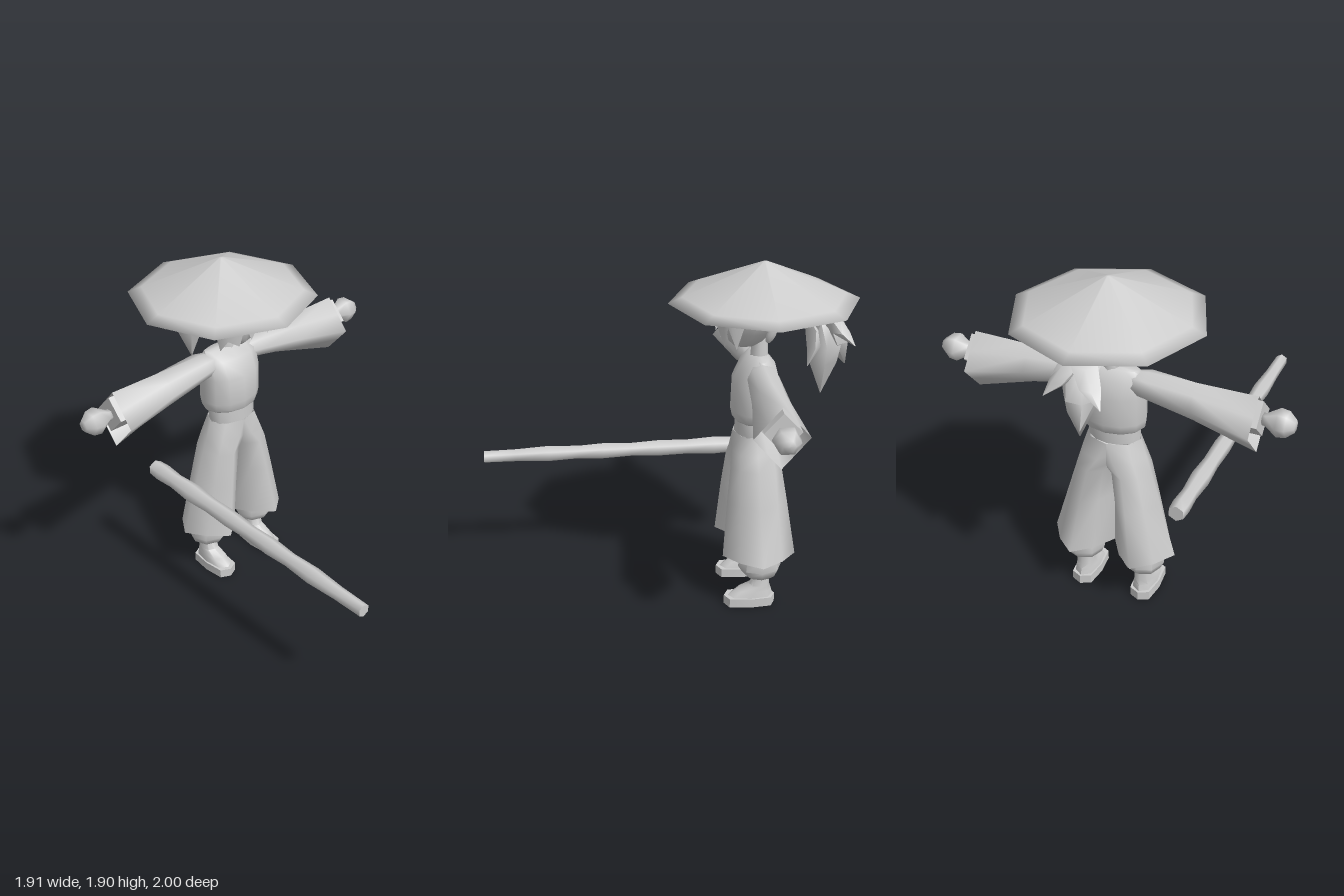
import * as THREE from 'three';
import { toCreasedNormals } from 'three/addons/utils/BufferGeometryUtils.js';

const grey = new THREE.MeshStandardMaterial({ color: 0xcccccc, side: THREE.DoubleSide });
grey.name = 'plain grey';

// Skin a list of closed rings; the winding is turned outward by its signed volume.
function loft(rings, { caps = true, crease = 1.0 } = {}) {
  const n = rings[0].length, pos = rings.flat().map(p => new THREE.Vector3(...p)), tris = [];
  for (let r = 0; r < rings.length - 1; r++) {
    for (let i = 0; i < n; i++) {
      const a = r * n + i, b = r * n + (i + 1) % n;
      tris.push([a, b, b + n], [a, b + n, a + n]);
    }
  }
  if (caps) {
    [0, rings.length - 1].forEach(r => {
      const c = new THREE.Vector3();
      for (let i = 0; i < n; i++) c.addScaledVector(pos[r * n + i], 1 / n);
      const k = pos.push(c) - 1;
      for (let i = 0; i < n; i++) {
        const a = r * n + i, b = r * n + (i + 1) % n;
        tris.push(r ? [k, a, b] : [k, b, a]);
      }
    });
  }
  const mid = new THREE.Vector3();
  pos.forEach(p => mid.addScaledVector(p, 1 / pos.length));
  let volume = 0;
  tris.forEach(t => {
    const [a, b, c] = t.map(i => pos[i].clone().sub(mid));
    volume += a.dot(b.cross(c));
  });
  if (volume < 0) tris.forEach(t => t.reverse());
  const g = new THREE.BufferGeometry().setFromPoints(pos);
  g.setIndex(tris.flat());
  g.computeVertexNormals();
  return crease ? toCreasedNormals(g, crease) : g;
}

// Horizontal ring between x0..x1 and zf..zb; e below 1 is boxier, above 1 more pointed.
function oval(y, x0, x1, zf, zb, n = 8, e = 1) {
  const f = v => Math.sign(v) * Math.pow(Math.abs(v) < 1e-6 ? 0 : Math.abs(v), e);
  return Array.from({ length: n }, (_, i) => {
    const t = i / n * Math.PI * 2;
    return [(x0 + x1) / 2 + f(Math.cos(t)) * (x1 - x0) / 2, y, (zf + zb) / 2 + f(Math.sin(t)) * (zf - zb) / 2];
  });
}

// Upright ring across an arm; k sets its shape from diamond (0.5) to round (0.71).
function armRing(x, cy, hy, hz, k) {
  const p = [[1, 0], [k, k], [0, 1], [-k, k], [-1, 0], [-k, -k], [0, -1], [k, -k]];
  return p.map(([a, b]) => [x, cy + b * hy, -0.475 + a * hz]);
}

export function createModel() {
  const model = new THREE.Group();
  model.name = 'traveller';
  const add = (name, geometry, parent = model) => {
    const m = new THREE.Mesh(geometry, grey);
    m.name = name;
    parent.add(m);
    return m;
  };

  // Eight-sided straw hat, softly shaded over the rim
  add('hat', loft([
    [0.01, 1.81], [0.43, 1.69], [0.503, 1.685], [0.43, 1.717], [0.01, 1.897],
  ].map(([r, y]) => oval(y, -r, r, -0.5 + r, -0.5 - r)), { crease: 0 }));

  // Head and neck
  add('head', loft([
    [1.447, 0.035, -0.345, -0.46], [1.475, 0.075, -0.315, -0.495], [1.54, 0.13, -0.3, -0.55],
    [1.61, 0.162, -0.285, -0.62], [1.69, 0.172, -0.28, -0.69], [1.76, 0.12, -0.35, -0.62],
  ].map(([y, h, f, b]) => oval(y, -h, h, f, b, 12, 0.95))));
  add('neck', new THREE.CylinderGeometry(0.04, 0.05, 0.14, 8)).position.set(0, 1.43, -0.48);
  for (const s of [-1, 1]) {
    const ear = add(s > 0 ? 'leftEar' : 'rightEar', new THREE.SphereGeometry(1, 8, 6));
    ear.scale.set(0.018, 0.055, 0.024);
    ear.position.set(s * 0.148, 1.55, -0.515);
    ear.rotation.set(-0.35, 0, -s * 0.25);
  }

  // Jagged fringe: [x, z, lower edge y] from the right temple to the left temple
  const fringe = [
    [-0.178, -0.43, 1.67], [-0.18, -0.375, 1.62], [-0.175, -0.325, 1.465], [-0.15, -0.285, 1.53],
    [-0.1, -0.245, 1.5], [-0.07, -0.23, 1.63], [-0.04, -0.215, 1.53], [0.05, -0.215, 1.675],
    [0.1, -0.24, 1.56], [0.13, -0.265, 1.48], [0.15, -0.285, 1.59], [0.17, -0.325, 1.475],
    [0.18, -0.375, 1.62], [0.178, -0.43, 1.67],
  ];
  const strip = [], faces = [];
  fringe.forEach(([x, z, y], i) => {
    const pull = 1 - (1.7 - y) * 0.35;
    strip.push(new THREE.Vector3(x, 1.71, z), new THREE.Vector3(x * pull, y, -0.47 + (z + 0.47) * pull));
    if (i) faces.push(2 * i - 2, 2 * i - 1, 2 * i + 1, 2 * i - 2, 2 * i + 1, 2 * i);
  });
  const fringeGeometry = new THREE.BufferGeometry().setFromPoints(strip);
  fringeGeometry.setIndex(faces);
  fringeGeometry.computeVertexNormals();
  add('fringe', fringeGeometry);

  // Full ponytail of overlapping pointed locks: [x, y, z, half width, half depth]
  const root = [0, 1.655, -0.695, 0.045, 0.035];
  const locks = [
    [root, [0, 1.58, -0.785, 0.09, 0.075], [0, 1.44, -0.82, 0.1, 0.095], [0.01, 1.35, -0.815, 0.075, 0.08], [0.02, 1.17, -0.81, 0.002, 0.002]],
    [root, [0, 1.6, -0.82, 0.085, 0.075], [-0.02, 1.45, -0.88, 0.085, 0.075], [-0.05, 1.305, -0.95, 0.002, 0.002]],
    [root, [-0.02, 1.61, -0.83, 0.075, 0.065], [-0.08, 1.53, -0.895, 0.06, 0.055], [-0.17, 1.465, -0.975, 0.002, 0.002]],
    [root, [0.02, 1.61, -0.83, 0.075, 0.065], [0.07, 1.53, -0.89, 0.055, 0.055], [0.13, 1.465, -0.96, 0.002, 0.002]],
    [root, [0.02, 1.54, -0.76, 0.07, 0.045], [0.06, 1.45, -0.755, 0.05, 0.035], [0.09, 1.35, -0.72, 0.002, 0.002]],
  ];
  locks.forEach((lock, i) => add('ponytailLock' + (i + 1), loft(
    lock.map(([x, y, z, w, d]) => oval(y, x - w, x + w, z + d, z - d, 6)), { crease: 1.2 })));

  // Jacket body and belt
  add('jacket', loft([
    [1.045, 0.16, -0.345, -0.575, 1], [1.055, 0.17, -0.34, -0.585, 1], [1.1, 0.178, -0.33, -0.595, 1],
    [1.25, 0.175, -0.335, -0.59, 0.9], [1.345, 0.175, -0.385, -0.565, 0.8], [1.395, 0.15, -0.44, -0.52, 0.8],
  ].map(([y, h, f, b, e]) => oval(y, -h, h, f, b, 12, e)), { crease: 1.1 }));
  add('belt', loft([0.965, 1.05].map(y => oval(y, -0.14, 0.14, -0.355, -0.55, 12))));

  // Limbs, built on the left and mirrored
  const sleeve = loft([
    armRing(0.1, 1.32, 0.06, 0.06, 0.71), armRing(0.19, 1.325, 0.068, 0.085, 0.71),
    armRing(0.45, 1.287, 0.11, 0.1, 0.6), armRing(0.765, 1.239, 0.162, 0.142, 0.5),
  ], { caps: false, crease: 0 });
  const lining = loft([armRing(0.62, 1.265, 0.11, 0.1, 0.5), armRing(0.63, 1.265, 0.13, 0.12, 0.5)]);
  const cuff = loft([armRing(0.6, 1.28, 0.1, 0.095, 0.5), armRing(0.79, 1.28, 0.1, 0.095, 0.5)]);
  const handProfile = [[0, 0.78], [0.03, 0.78], [0.032, 0.805], [0.072, 0.87], [0.066, 0.915], [0.032, 0.955], [0, 0.957]];
  const hand = new THREE.LatheGeometry(handProfile.map(p => new THREE.Vector2(...p)), 6);
  hand.rotateZ(-Math.PI / 2).translate(0, 1.28, -0.475);

  const trouser = loft([
    [0.97, -0.145, 0.145, -0.345, -0.565, 1], [0.87, -0.09, 0.178, -0.335, -0.585, 1],
    [0.79, -0.01, 0.202, -0.325, -0.6, 1.1], [0.6, 0, 0.257, -0.305, -0.63, 1.35],
    [0.295, 0, 0.345, -0.28, -0.675, 1.6],
  ].map(([y, a, b, f, k, e]) => oval(y, a, b, f, k, 8, e)), { caps: false, crease: 0 });
  const hem = loft([oval(0.3, 0.004, 0.341, -0.285, -0.67, 8, 1.6), oval(0.33, 0.006, 0.33, -0.29, -0.66, 8, 1.6)]);
  const calf = loft([
    [0.4, 0.085, -0.4, -0.57], [0.29, 0.105, -0.375, -0.585], [0.23, 0.113, -0.365, -0.6],
    [0.19, 0.095, -0.39, -0.58], [0.165, 0.06, -0.425, -0.55],
  ].map(([y, h, f, b]) => oval(y, 0.173 - h, 0.173 + h, f, b, 8, 0.95)));
  const foot = loft([
    [0.18, 0.045, -0.445, -0.535], [0.115, 0.047, -0.43, -0.54],
    [0.085, 0.054, -0.36, -0.55], [0.045, 0.06, -0.305, -0.56],
  ].map(([y, h, f, b]) => oval(y, 0.17 - h, 0.17 + h, f, b, 8, 0.8)));
  const sole = loft([0, 0.05].map(y => oval(y, 0.104, 0.238, -0.29, -0.57, 8, 0.6)), { crease: 0.8 });

  for (const s of [1, -1]) {
    const side = new THREE.Group();
    side.name = s > 0 ? 'leftLimbs' : 'rightLimbs';
    side.scale.x = s;
    Object.entries({ sleeve, lining, cuff, hand, trouser, hem, calf, foot, sole })
      .forEach(([name, geometry]) => add(name, geometry, side));
    model.add(side);
  }

  // Knobbly six-sided staff, tapering toward the front
  const staffProfile = [[0, -0.63], [0.045, -0.63], [0.05, -0.56], [0.043, -0.45], [0.053, -0.3], [0.044, -0.15],
    [0.048, 0.02], [0.04, 0.17], [0.047, 0.33], [0.039, 0.47], [0.047, 0.64], [0.037, 0.82], [0.035, 1], [0, 1]];
  const staff = new THREE.LatheGeometry(staffProfile.map(p => new THREE.Vector2(...p)), 6);
  staff.rotateX(Math.PI / 2);
  const p = staff.attributes.position;
  for (let i = 0; i < p.count; i++) p.setY(i, p.getY(i) + 0.692 - 0.012 * p.getZ(i));
  add('staff', toCreasedNormals(staff, 1.1)).position.x = -0.411;

  return model;
}
